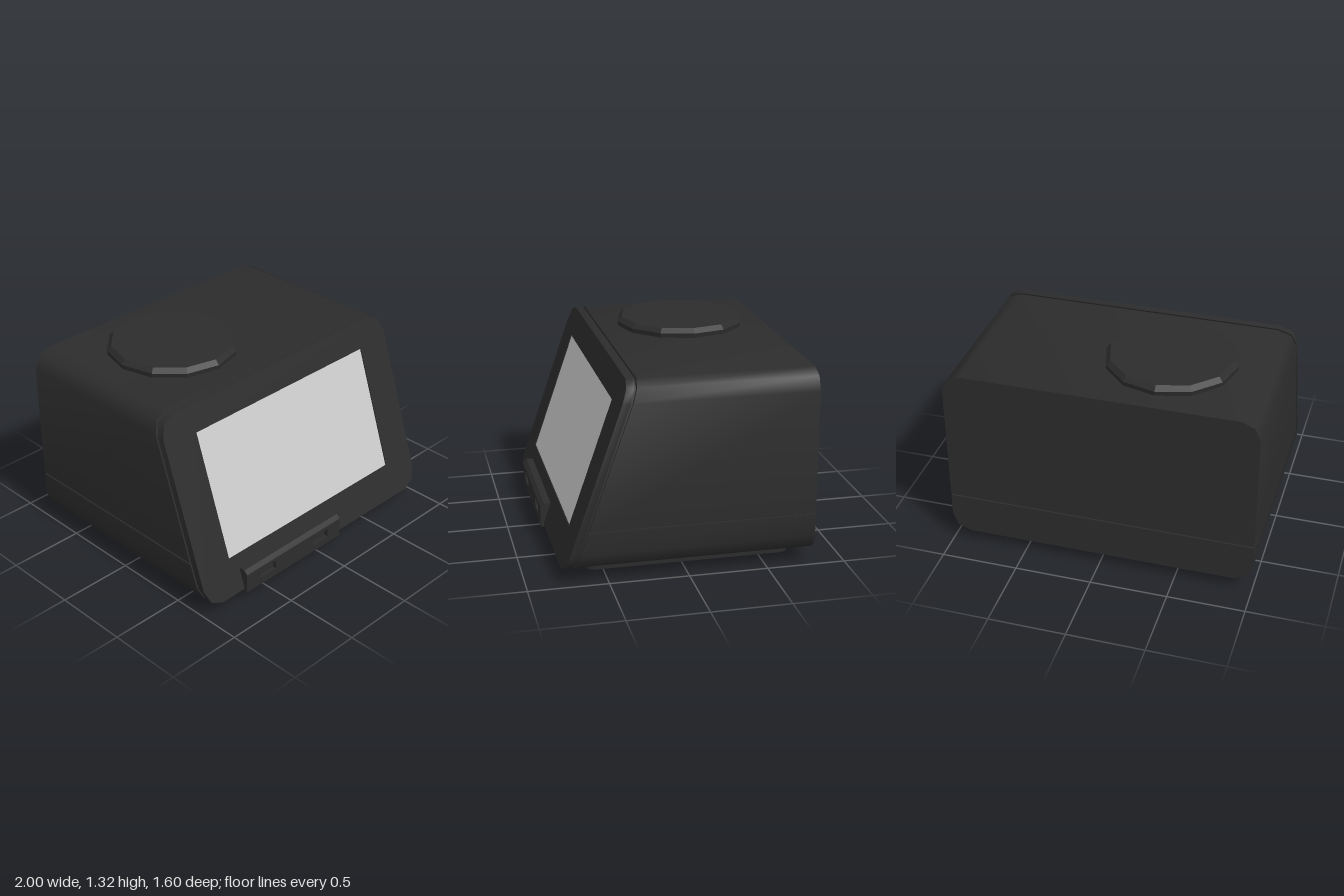
import * as THREE from 'three';
import { toCreasedNormals } from 'three/addons/utils/BufferGeometryUtils.js';

const dark = new THREE.MeshStandardMaterial({ color: 0x2c2c2c });
const grey = new THREE.MeshStandardMaterial({ color: 0xcccccc });

// Depth of the sloping front face at height y
const slope = (y) => 0.78 - 0.348 * (y - 0.075);

// Closed outline with optional faceted corners at the top and bottom
function outline(w, y0, y1, top, bottom) {
  const right = [];
  if (bottom) right.push([w - 0.12, y0], [w - 0.035, y0 + 0.035], [w, y0 + 0.12]);
  else right.push([w, y0]);
  if (top) right.push([w, y1 - 0.12], [w - 0.035, y1 - 0.035], [w - 0.12, y1]);
  else right.push([w, y1]);
  const left = right.map(([x, y]) => [-x, y]).reverse();
  return new THREE.Shape([...right, ...left].map(([x, y]) => new THREE.Vector2(x, y)));
}

function rectHole(x0, x1, y0, y1) {
  return new THREE.Path([[x0, y0], [x0, y1], [x1, y1], [x1, y0]].map(([x, y]) => new THREE.Vector2(x, y)));
}

// Extrude an outline between two depths that may vary with height
function sweep(shape, back, front) {
  const geo = new THREE.ExtrudeGeometry(shape, { depth: 1, bevelEnabled: false });
  const p = geo.attributes.position;
  for (let i = 0; i < p.count; i++) {
    const y = p.getY(i);
    p.setZ(i, p.getZ(i) > 0.5 ? front(y) : back(y));
  }
  geo.computeVertexNormals();
  return toCreasedNormals(geo, 0.95);
}

export function createModel() {
  const model = new THREE.Group();
  const add = (name, geo, mat = dark) => {
    const mesh = new THREE.Mesh(geo, mat);
    mesh.name = name;
    model.add(mesh);
    return mesh;
  };
  const rear = () => -0.8;
  const bodyFront = (y) => slope(y) - 0.065;

  // Housing halves, with an inset core showing in the seams
  add('upperHousing', sweep(outline(1, 0.35, 1.255, true, false), rear, bodyFront));
  add('lowerHousing', sweep(outline(1, 0.075, 0.34, false, true), rear, bodyFront));
  add('innerCore', sweep(outline(0.988, 0.087, 1.243, true, true), () => -0.788, (y) => slope(y) - 0.04));

  // Sloping bezel with a screen opening
  const bezel = outline(1, 0.075, 1.255, true, true);
  bezel.holes.push(rectHole(-0.75, 0.75, 0.295, 1.09));
  add('bezel', sweep(bezel, (y) => slope(y) - 0.05, slope));
  add('screen', sweep(outline(0.75, 0.295, 1.09, false, false), (y) => slope(y) - 0.03, (y) => slope(y) - 0.006), grey);

  // Port block on the lower front: profile in z and y, extruded along x
  const profile = new THREE.Shape([[0.67, 0.055], [0.775, 0.055], [0.775, 0.215], [0.67, 0.215]]
    .map(([z, y]) => new THREE.Vector2(-z, y)));
  const block = new THREE.ExtrudeGeometry(profile, { depth: 0.86, bevelEnabled: false });
  block.rotateY(Math.PI / 2).translate(-0.69, 0, 0);
  add('portBlock', block);

  // Front plate with two sockets and a chamfered top edge
  const plate = new THREE.Shape([[-0.69, 0.055], [0.17, 0.055], [0.17, 0.215], [-0.69, 0.215]]
    .map(([x, y]) => new THREE.Vector2(x, y)));
  for (const x of [-0.5, -0.015]) plate.holes.push(rectHole(x - 0.07, x + 0.07, 0.105, 0.165));
  const plateGeo = sweep(plate, () => 0.775, (y) => (y > 0.2 ? 0.775 : 0.8));
  const pos = plateGeo.attributes.position;
  for (let i = 0; i < pos.count; i++) {
    if (pos.getY(i) > 0.2) pos.setXYZ(i, pos.getX(i), 0.19, pos.getZ(i) > 0.77 ? 0.8 : 0.775);
  }
  // Restore the full front depth, then close the top with a wedge
  const flat = new THREE.ExtrudeGeometry(
    Object.assign(new THREE.Shape([[-0.69, 0.055], [0.17, 0.055], [0.17, 0.19], [-0.69, 0.19]]
      .map(([x, y]) => new THREE.Vector2(x, y))), { holes: plate.holes }),
    { depth: 0.025, bevelEnabled: false });
  add('portPlate', flat.translate(0, 0, 0.775));
  const wedge = new THREE.ExtrudeGeometry(
    new THREE.Shape([[-0.775, 0.19], [-0.775, 0.215], [-0.8, 0.19]].map(([z, y]) => new THREE.Vector2(z, y))),
    { depth: 0.86, bevelEnabled: false });
  add('portPlateChamfer', wedge.rotateY(Math.PI / 2).translate(-0.69, 0, 0));

  // Twelve-sided dial on top
  const dial = new THREE.LatheGeometry(
    [[0, 1.25], [0.42, 1.25], [0.425, 1.285], [0.397, 1.315], [0, 1.315]].map(([r, y]) => new THREE.Vector2(r, y)), 12);
  const dialGeo = dial.toNonIndexed();
  dialGeo.computeVertexNormals();
  add('topDial', dialGeo.translate(-0.32, 0, -0.245));

  // Foot plate with softened corners
  const w = 0.785, d = 0.66, r = 0.07;
  const foot = new THREE.Shape();
  foot.moveTo(w - r, -d);
  foot.quadraticCurveTo(w, -d, w, -d + r).lineTo(w, d - r);
  foot.quadraticCurveTo(w, d, w - r, d).lineTo(-w + r, d);
  foot.quadraticCurveTo(-w, d, -w, d - r).lineTo(-w, -d + r);
  foot.quadraticCurveTo(-w, -d, -w + r, -d);
  const footGeo = new THREE.ExtrudeGeometry(foot, { depth: 0.085, bevelEnabled: false, curveSegments: 3 });
  footGeo.rotateX(-Math.PI / 2).translate(0, 0, -0.045);
  add('footPlate', toCreasedNormals(footGeo, 0.9));

  return model;
}
